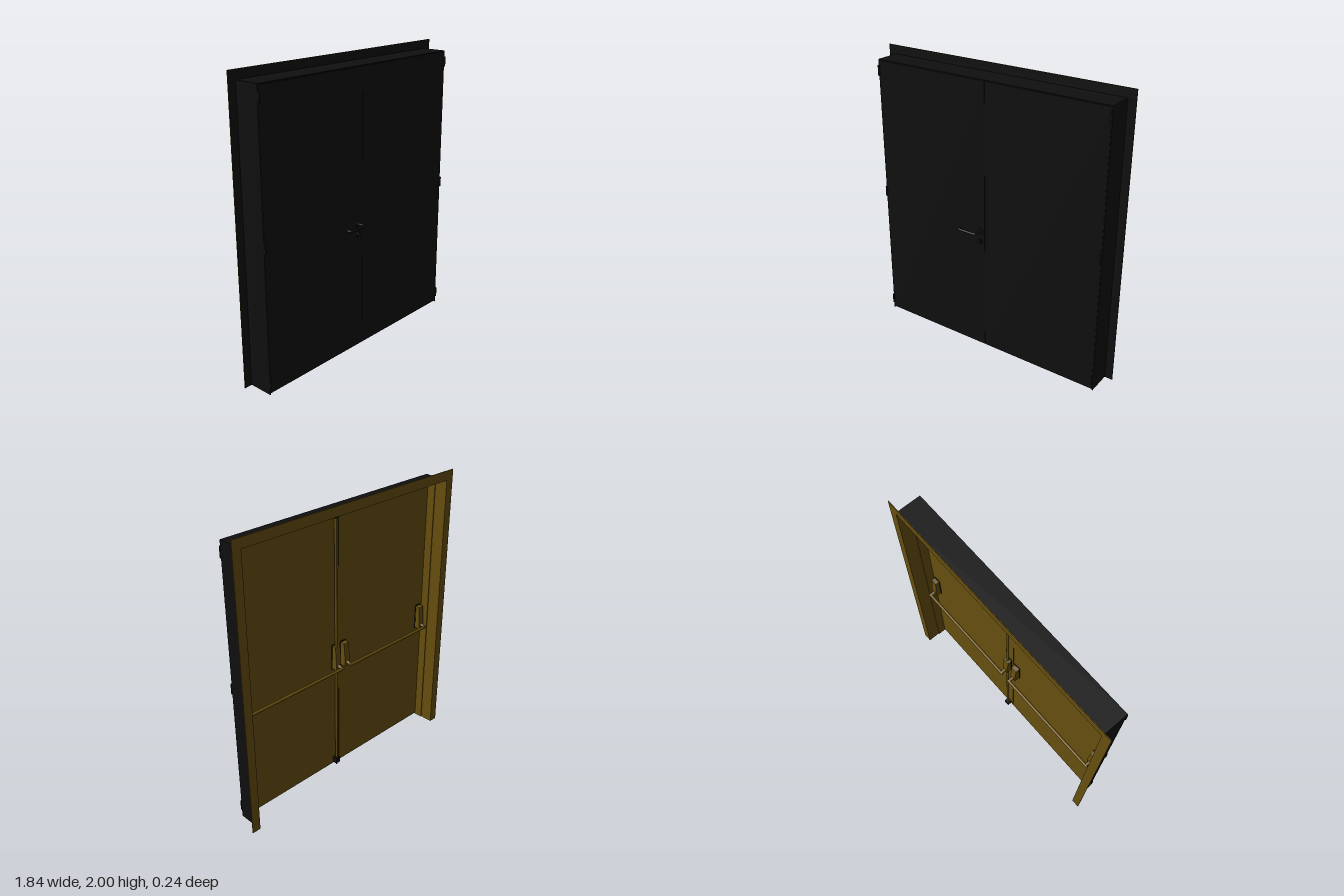
import * as THREE from 'three';

export function createModel() {
  const model = new THREE.Group();
  model.name = 'doubleDoor';

  const black = new THREE.MeshStandardMaterial({ color: 0x0f0f0f });
  black.name = 'black outside';
  const brown = new THREE.MeshStandardMaterial({ color: 0x664e0f });
  brown.name = 'bronze inside';

  const add = (name, geometry, material, parent = model) => {
    const mesh = new THREE.Mesh(geometry, material);
    mesh.name = name;
    parent.add(mesh);
    return mesh;
  };

  // Box given by its limits; face materials run +x, -x, +y, -y, +z, -z
  const box = (name, [x0, x1], [y0, y1], [z0, z1], material, parent) => {
    const mesh = add(name, new THREE.BoxGeometry(Math.abs(x1 - x0), y1 - y0, z1 - z0), material, parent);
    mesh.position.set((x0 + x1) / 2, (y0 + y1) / 2, (z0 + z1) / 2);
    return mesh;
  };

  const rod = (name, radius, from, to, material, parent) => {
    const a = new THREE.Vector3(...from), b = new THREE.Vector3(...to);
    const mesh = add(name, new THREE.CylinderGeometry(radius, radius, a.distanceTo(b), 16), material, parent);
    mesh.position.copy(a).lerp(b, 0.5);
    mesh.quaternion.setFromUnitVectors(new THREE.Vector3(0, 1, 0), b.sub(a).normalize());
    return mesh;
  };

  const twoFaced = [brown, brown, brown, brown, black, brown];
  const leafFaces = [black, black, black, black, black, brown];
  const Z_BACK = -0.122, Z_FLANGE = -0.117, Z_FRONT = 0.057, Z_LEAF = 0.03;

  // Frame head with its flange and stop
  box('headFlange', [-0.92, 0.92], [1.94, 2], [Z_BACK, Z_FLANGE], twoFaced);
  box('frameHead', [-0.865, 0.865], [1.934, 1.94], [Z_BACK, Z_FRONT], [black, black, black, brown, black, brown]);
  box('headStop', [-0.859, 0.859], [1.928, 1.934], [-0.03, Z_LEAF], brown);

  for (const s of [-1, 1]) {
    const side = s > 0 ? 'left' : 'right';

    // Frame jamb with its flange and stop
    box(side + 'Flange', [s * 0.865, s * 0.92], [0, 1.94], [Z_BACK, Z_FLANGE], twoFaced);
    box(side + 'Jamb', [s * 0.859, s * 0.865], [0, 1.934], [Z_BACK, Z_FRONT],
      [s > 0 ? black : brown, s > 0 ? brown : black, black, black, black, brown]);
    box(side + 'Stop', [s * 0.853, s * 0.859], [0, 1.928], [-0.03, Z_LEAF], brown);

    // Door leaf, black in front and bronze behind
    box(side + 'Leaf', [s * 0.001, s * 0.858], [0.01, 1.932], [Z_LEAF, Z_FRONT], leafFaces);

    // Three hinge barrels
    for (const y of [0.085, 0.985, 1.865]) {
      rod(side + 'Hinge', 0.007, [s * 0.861, y - 0.035, 0.062], [s * 0.861, y + 0.035, 0.062], black);
    }

    // Push bar with a housing and a sloping arm at each end
    const bar = new THREE.Group();
    bar.name = side + 'PushBar';
    model.add(bar);
    for (const x of [0.04, 0.81]) {
      const shape = new THREE.Shape([[0.03, 0.805], [-0.012, 0.805], [-0.014, 0.85], [-0.004, 0.975], [0.03, 0.98]]
        .map(([z, y]) => new THREE.Vector2(-z, y)));
      const housing = add('barHousing', new THREE.ExtrudeGeometry(shape, { depth: 0.044, bevelEnabled: false }), brown, bar);
      housing.rotation.y = Math.PI / 2;
      housing.position.x = s * x - 0.022;
      box('housingBase', [s * x - 0.025, s * x + 0.025], [0.8, 0.985], [0.024, 0.0305], black, bar);
      rod('barArm', 0.011, [s * x, 0.84, 0], [s * x, 0.825, -0.045], brown, bar);
    }
    rod('bar', 0.01, [s * 0.028, 0.825, -0.045], [s * 0.822, 0.825, -0.045], brown, bar);
  }

  // Vertical bolt rod with guides on the left leaf
  rod('boltRod', 0.009, [0.04, 0.02, 0.012], [0.04, 1.92, 0.012], brown);
  for (const y of [0.02, 1.87]) {
    box('boltGuide', [0.022, 0.058], [y, y + 0.045], [-0.004, Z_LEAF], black);
  }
  rod('boltTip', 0.006, [0.04, 0.002, 0.012], [0.04, 0.03, 0.012], black);

  // Front lever handle with a returned end, its rosette and the lock cylinder
  const path = new THREE.CurvePath();
  const points = [[-0.04, 0.056], [-0.04, 0.098], [-0.056, 0.113], [-0.163, 0.113], [-0.179, 0.105], [-0.179, 0.092]]
    .map(([x, z]) => new THREE.Vector3(x, 0.902, z));
  path.add(new THREE.LineCurve3(points[0], points[1]));
  path.add(new THREE.QuadraticBezierCurve3(points[1], new THREE.Vector3(-0.04, 0.902, 0.113), points[2]));
  path.add(new THREE.LineCurve3(points[2], points[3]));
  path.add(new THREE.QuadraticBezierCurve3(points[3], new THREE.Vector3(-0.179, 0.902, 0.113), points[4]));
  path.add(new THREE.LineCurve3(points[4], points[5]));
  add('lever', new THREE.TubeGeometry(path, 60, 0.009, 12), black);
  rod('leverEnd', 0.009, [-0.179, 0.902, 0.09], [-0.179, 0.902, 0.094], black);
  rod('leverRosette', 0.025, [-0.04, 0.902, 0.055], [-0.04, 0.902, 0.063], black);
  rod('lockRosette', 0.022, [-0.04, 0.83, 0.055], [-0.04, 0.83, 0.063], black);
  rod('lockCylinder', 0.013, [-0.04, 0.83, 0.06], [-0.04, 0.83, 0.071], black);

  return model;
}
